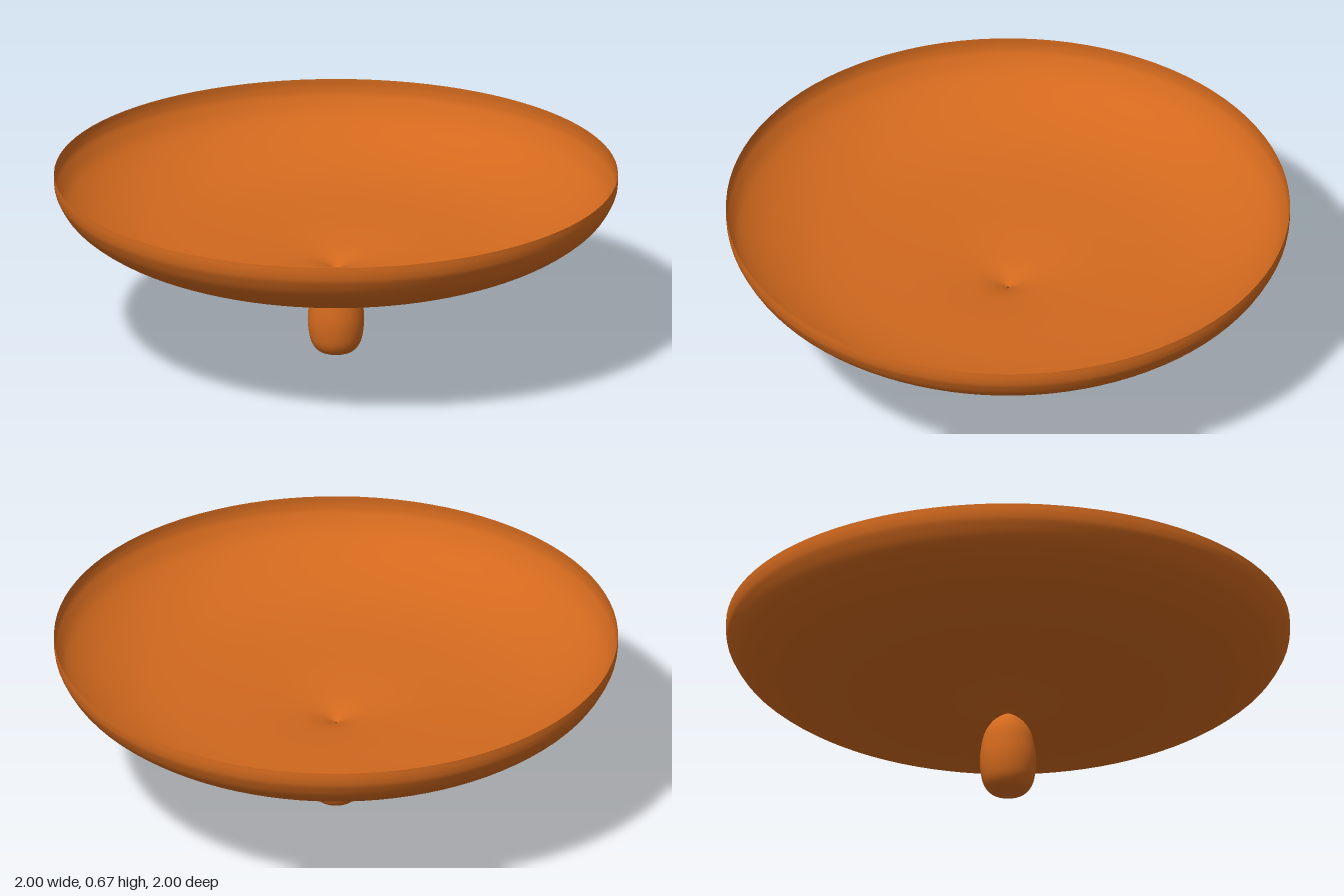
import * as THREE from 'three';

// Smooth curve through [radius, height] pairs
const smooth = (pairs, n) =>
  new THREE.SplineCurve(pairs.map(([r, y]) => new THREE.Vector2(r, y)))
    .getPoints(n)
    .map((p) => new THREE.Vector2(Math.max(p.x, 0), Math.max(p.y, 0)));

export function createModel() {
  const group = new THREE.Group();
  group.name = 'footedDish';
  const material = new THREE.MeshStandardMaterial({ color: 0xd2691e, side: THREE.DoubleSide });

  const addLathe = (name, pairs, steps) => {
    const mesh = new THREE.Mesh(new THREE.LatheGeometry(smooth(pairs, steps), 96), material);
    mesh.name = name;
    group.add(mesh);
  };

  // Bullet-shaped foot, rounded at the base and pinched at the top
  addLathe('foot', [
    [0, 0], [0.04, 0.006], [0.07, 0.02], [0.091, 0.056], [0.1, 0.12],
    [0.096, 0.18], [0.084, 0.235], [0.06, 0.276], [0.03, 0.302], [0.004, 0.317],
  ], 48);

  // Thin, wide dish flaring out of the pinch to an upright rim
  addLathe('dish', [
    [0.004, 0.317], [0.03, 0.331], [0.07, 0.346], [0.13, 0.359], [0.28, 0.376],
    [0.45, 0.388], [0.6, 0.402], [0.73, 0.428], [0.86, 0.482], [0.95, 0.546],
    [0.99, 0.605], [1, 0.64], [1, 0.674],
  ], 80);

  return group;
}
